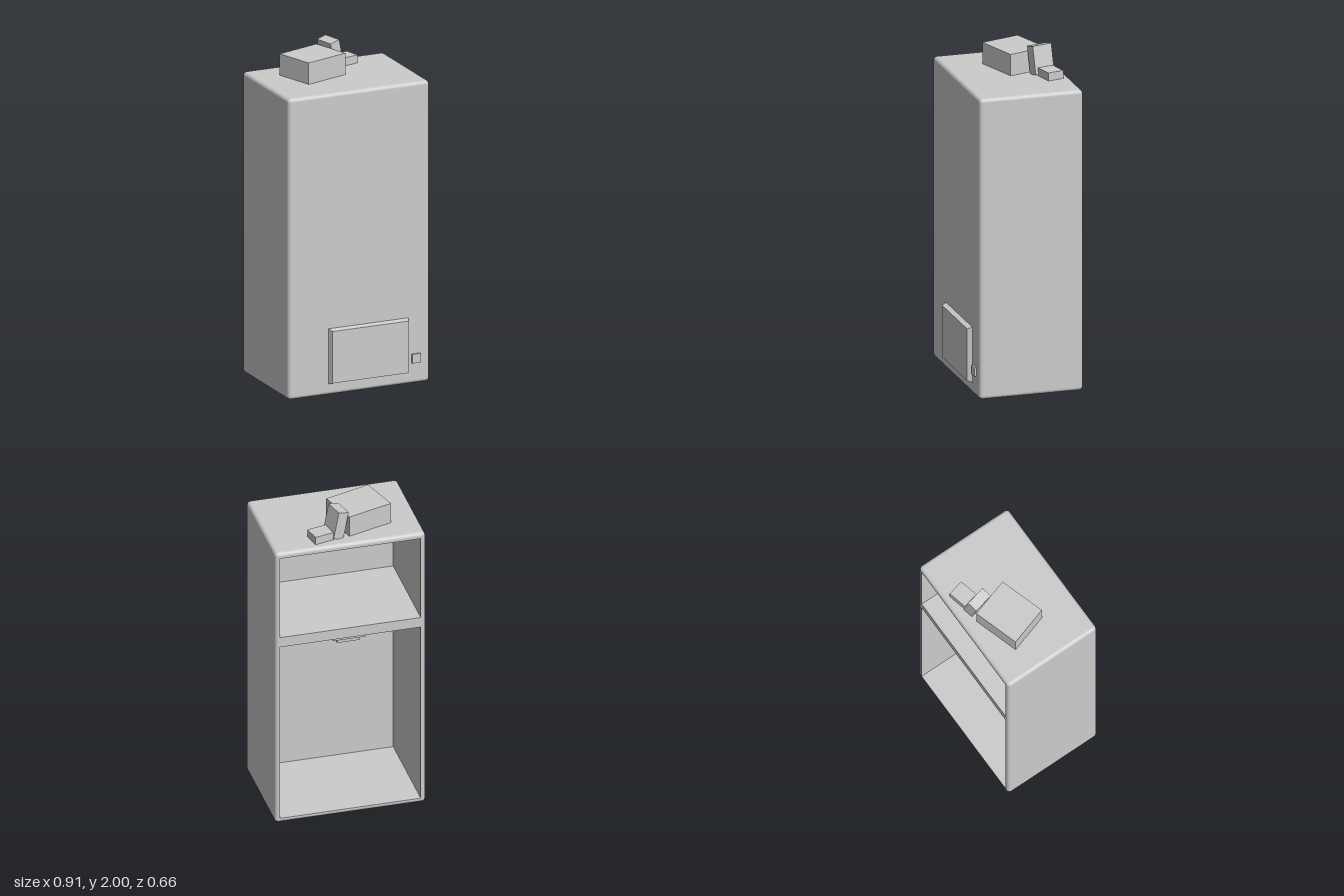
import * as THREE from 'three';
import { RoundedBoxGeometry } from 'three/addons/geometries/RoundedBoxGeometry.js';

const W = 0.906, H = 1.825, R = 0.022, BACK = -0.33, FRONT = 0.3;
const D = FRONT - BACK;

const grey = new THREE.MeshStandardMaterial({ color: 0xcccccc });
grey.name = 'plain grey';

function add(parent, name, geometry, pos = [0, 0, 0], rot = [0, 0, 0]) {
  const mesh = new THREE.Mesh(geometry, grey);
  mesh.name = name;
  mesh.position.set(...pos);
  mesh.rotation.set(...rot);
  parent.add(mesh);
  return mesh;
}

const box = (w, h, d) => new THREE.BoxGeometry(w, h, d);

// Rounded outer skin without its flat back and flat underside
function outerSkin() {
  const g = new RoundedBoxGeometry(W, H, D, 3, R);
  const p = g.attributes.position;
  const keep = [];
  for (let i = 0; i < p.count; i += 3) {
    const tri = [i, i + 1, i + 2];
    const flatBack = tri.every((k) => p.getZ(k) < -D / 2 + 1e-4);
    const flatBottom = tri.every((k) => p.getY(k) < -H / 2 + 1e-4);
    if (!flatBack && !flatBottom) keep.push(...tri);
  }
  g.setIndex(keep);
  g.clearGroups();
  return g;
}

// Box seen from inside, with one face left open (3 = bottom, 5 = back)
function cavity(w, h, d, openFace) {
  const g = box(w, h, d);
  g.scale(-1, 1, 1);
  const idx = Array.from(g.index.array);
  idx.splice(openFace * 6, 6);
  g.setIndex(idx);
  g.clearGroups();
  g.computeVertexNormals();
  return g;
}

function rect(path, x0, y0, x1, y1) {
  path.moveTo(x0, y0);
  path.lineTo(x1, y0);
  path.lineTo(x1, y1);
  path.lineTo(x0, y1);
  path.closePath();
  return path;
}

export function createModel() {
  const model = new THREE.Group();
  model.name = 'cabinet';

  // Cabinet shell
  add(model, 'outerShell', outerSkin(), [0, H / 2, (FRONT + BACK) / 2]);

  // Two open compartments separated by a thick shelf
  const inX = W / 2 - 0.03, inFront = 0.27, depth = inFront - BACK;
  const bays = [
    { name: 'lowerCompartment', y0: 0.03, y1: 1.19 },
    { name: 'upperCompartment', y0: 1.255, y1: 1.79 },
  ];
  const edge = W / 2 - R;
  const frame = rect(new THREE.Shape(), -edge, R, edge, H - R);
  for (const { name, y0, y1 } of bays) {
    frame.holes.push(rect(new THREE.Path(), -inX, y0, inX, y1));
    add(model, name, cavity(inX * 2, y1 - y0, depth, 5),
      [0, (y0 + y1) / 2, (inFront + BACK) / 2]);
  }
  add(model, 'backFrame', new THREE.ShapeGeometry(frame), [0, 0, BACK], [0, Math.PI, 0]);

  // Recessed underside
  add(model, 'undersideRecess', cavity(edge * 2, 0.028, D - 2 * R, 3),
    [0, 0.014, (FRONT + BACK) / 2]);

  // Small stepped fitting under the shelf
  add(model, 'fittingPlate', box(0.2, 0.025, 0.115), [0, 1.178, -0.25]);
  add(model, 'fittingBlock', box(0.14, 0.03, 0.075), [0, 1.152, -0.25]);

  // Front panel with tapered sides
  const panel = box(0.51, 0.335, 0.03);
  const pp = panel.attributes.position;
  for (let i = 0; i < pp.count; i++) {
    if (pp.getZ(i) > 0) pp.setXY(i, pp.getX(i) * 0.955, pp.getY(i) * 0.94);
  }
  panel.computeVertexNormals();
  add(model, 'frontPanel', panel, [0.06, 0.235, FRONT + 0.015]);
  add(model, 'button', box(0.055, 0.055, 0.014), [0.364, 0.153, FRONT + 0.006]);

  // Loose boxes on top
  add(model, 'largeTopBox', box(0.288, 0.13, 0.249), [-0.116, H + 0.065, -0.089], [0, 0.3, 0]);
  add(model, 'leaningTopBox', box(0.066, 0.17, 0.125), [0.051, 1.909, -0.198], [0, 0.235, 0.21]);
  add(model, 'smallTopBox', box(0.118, 0.05, 0.1), [0.152, H + 0.024, -0.227], [0, 0.225, 0]);

  return model;
}
